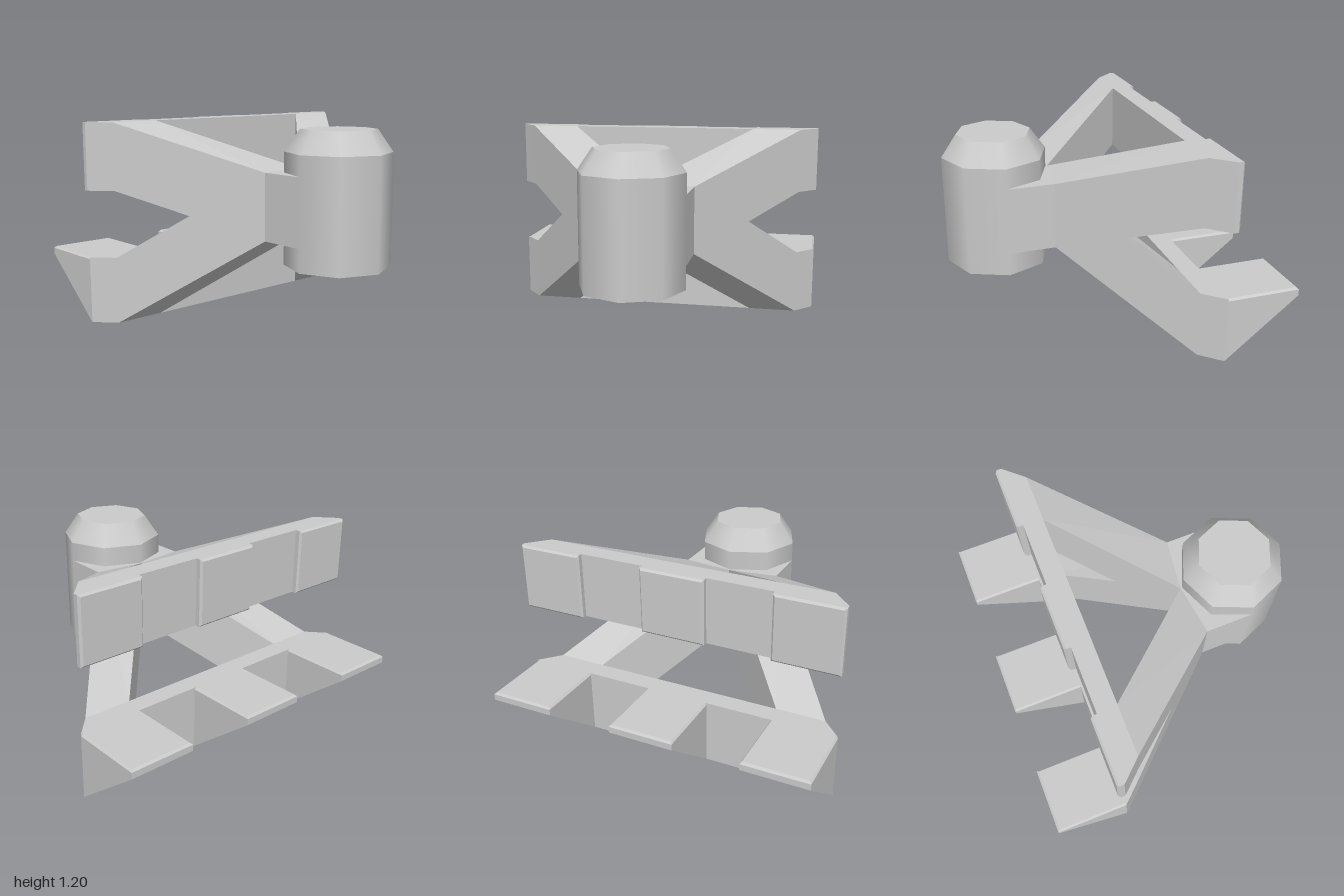
import * as THREE from 'three';

const flat = new THREE.MeshStandardMaterial({ color: 0xcccccc, flatShading: true });
const smooth = new THREE.MeshStandardMaterial({ color: 0xcccccc });

// Closed solid through rings of [x, y, z] corners, capped at both ends
function loft(rings) {
  const n = rings[0].length;
  const tris = [];
  for (let r = 0; r < rings.length - 1; r++) {
    for (let i = 0; i < n; i++) {
      const j = (i + 1) % n;
      const a = rings[r][i], b = rings[r][j], c = rings[r + 1][j], d = rings[r + 1][i];
      tris.push([a, b, c], [a, c, d]);
    }
  }
  const first = rings[0], last = rings[rings.length - 1];
  for (let i = 1; i < n - 1; i++) {
    tris.push([first[0], first[i + 1], first[i]], [last[0], last[i], last[i + 1]]);
  }
  // Signed volume tells whether the faces point outwards
  const v = tris.map((t) => t.map((p) => new THREE.Vector3(...p)));
  const volume = v.reduce((s, [a, b, c]) => s + a.dot(b.clone().cross(c)), 0);
  if (volume < 0) tris.forEach((t) => t.reverse());
  const geo = new THREE.BufferGeometry();
  geo.setAttribute('position', new THREE.Float32BufferAttribute(tris.flat(2), 3));
  geo.computeVertexNormals();
  return geo;
}

// Upright prism over a footprint of [x, z, bottom y, top y]
const prism = (pts) => loft([
  pts.map(([x, z, y0]) => [x, y0, z]),
  pts.map(([x, z, , y1]) => [x, y1, z]),
]);

export function createModel() {
  const group = new THREE.Group();
  const add = (name, geo, mat = flat) => {
    const mesh = new THREE.Mesh(geo, mat);
    mesh.name = name;
    group.add(mesh);
    return mesh;
  };

  // Octagonal barrel with a tapered top
  add('barrel', new THREE.CylinderGeometry(0.31, 0.31, 0.66, 8), smooth).position.set(0.6, 0.71, 0);
  add('barrelTaper', new THREE.CylinderGeometry(0.22, 0.31, 0.13, 8), smooth).position.set(0.6, 1.105, 0);

  // Block joining the arms to the barrel
  const h0 = 0.52, h1 = 0.92;
  add('hub', prism([[0.28, 0], [0.32, 0.31], [0.6, 0.31], [0.6, -0.31], [0.32, -0.31]]
    .map(([x, z]) => [x, z, h0, h1])));

  // Upper and lower crossbars, each with two arms running to the hub
  for (const [level, y0, y1] of [['lower', 0, 0.4], ['upper', 0.8, 1.2]]) {
    add(level + 'Crossbar', prism([[-0.47, 1], [-0.35, 0.89], [-0.35, -0.89], [-0.47, -1]]
      .map(([x, z]) => [x, z, y0, y1])));
    for (const s of [1, -1]) {
      add(level + (s > 0 ? 'FrontArm' : 'BackArm'), prism([
        [-0.35, s * 0.59, y0, y1], [-0.35, s * 0.89, y0, y1],
        [0.32, s * 0.31, h0, h1], [0.28, 0, h0, h1],
      ]));
    }
  }

  // Three wedge teeth below and three thin pads above, with small bevels
  const b = 0.012;
  for (const zc of [-0.8, 0, 0.8]) {
    const z0 = zc - 0.2, z1 = zc + 0.2;
    const toothRing = (xOut, yOut, yIn, inset) => [
      [-0.47, yIn, z0 + inset], [xOut, yOut, z0 + inset],
      [xOut, yOut, z1 - inset], [-0.47, yIn, z1 - inset],
    ];
    add('tooth', loft([
      toothRing(-0.91, 0.35, 0, 0),
      toothRing(-0.91, 0.4 - b, 0.4 - b, 0),
      toothRing(-0.91 + b, 0.4, 0.4, b),
    ]));
    const padRing = (x, inset) => [
      [x, 0.8 + inset, z0 + inset], [x, 1.2 - inset, z0 + inset],
      [x, 1.2 - inset, z1 - inset], [x, 0.8 + inset, z1 - inset],
    ];
    add('pad', loft([padRing(-0.47, 0), padRing(-0.51 + b, 0), padRing(-0.51, b)]));
  }
  return group;
}
